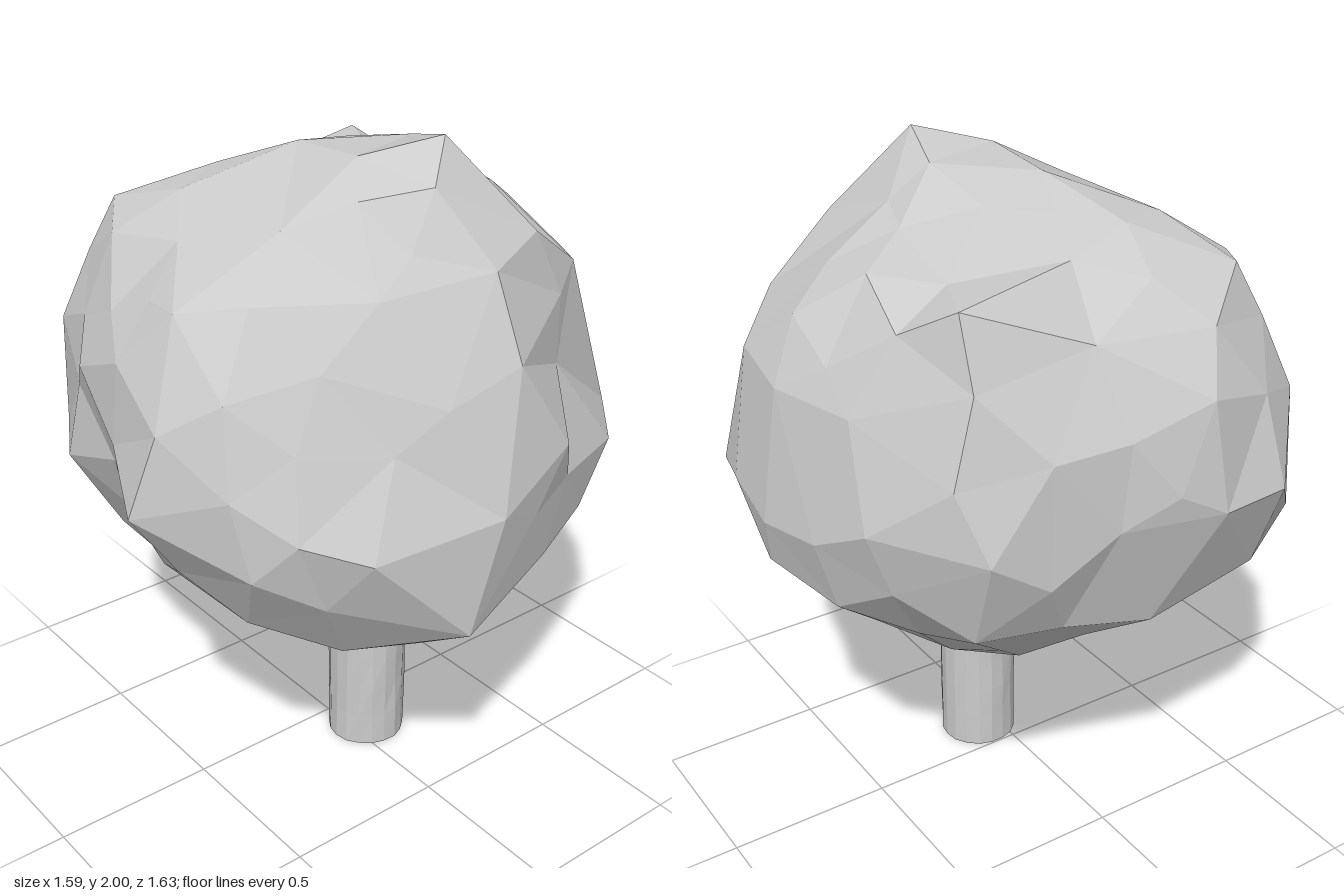
import * as THREE from 'three';
import { ConvexGeometry } from 'three/addons/geometries/ConvexGeometry.js';
import { mergeVertices } from 'three/addons/utils/BufferGeometryUtils.js';

const V = (x, y, z) => new THREE.Vector3(x, y, z);
const CENTRE = V(0, 1.23, 0);

// Main lumps and hollows of the foliage; the rest of the surface blends between them
const LUMPS = [
  // crown
  V(0.33, 2.0, -0.13), V(0.21, 1.95, 0.07), V(-0.06, 1.93, 0.06), V(-0.35, 1.78, -0.05), V(-0.5, 1.78, -0.49),
  V(-0.35, 1.69, -0.58), V(-0.3, 1.77, -0.4), V(0.17, 1.85, -0.3), V(-0.49, 1.73, 0.4), V(-0.05, 1.73, 0.47),
  // shoulder
  V(0.5, 1.74, -0.32), V(0.58, 1.7, -0.1), V(0.5, 1.67, 0.23), V(0.16, 1.63, 0.63),
  V(-0.65, 1.64, 0.2), V(0.42, 1.58, -0.56), V(0.2, 1.51, -0.75), V(-0.3, 1.47, -0.7), V(-0.6, 1.65, -0.15),
  // widest ring
  V(0.24, 1.35, 0.75), V(0.69, 1.47, -0.1), V(0.63, 1.3, 0.28), V(-0.76, 1.49, 0.12),
  V(0.55, 1.35, -0.38), V(0.18, 1.1, 0.81), V(0.79, 1.1, 0.03), V(0.7, 1.05, 0.4), V(0.48, 0.98, 0.63),
  V(-0.26, 1.35, 0.68), V(-0.1, 1.12, 0.68), V(-0.78, 1.17, 0.37), V(-0.8, 1.17, 0.15), V(-0.73, 1.17, -0.15),
  V(-0.67, 1.15, -0.51), V(-0.4, 1.18, -0.72), V(0, 1.07, -0.82), V(0.41, 1.08, -0.75), V(0.57, 1.05, -0.61),
  V(0.72, 1.2, -0.27),
  // underside
  V(-0.62, 1.0, 0.54), V(0.77, 0.76, 0.12), V(0.55, 0.61, 0.1), V(0, 0.8, 0.6), V(0, 0.6, 0.36), V(-0.67, 0.89, 0.37),
  V(-0.37, 0.6, 0.1), V(-0.09, 0.5, -0.25), V(0, 0.64, -0.5), V(0.05, 0.92, -0.79), V(0.1, 0.53, 0),
];

// Repeatable pseudo-random values from -0.5 to 0.5
function makeRandom(seed) {
  return () => {
    seed = (seed * 16807) % 2147483647;
    return seed / 2147483647 - 0.5;
  };
}

function foliageGeometry() {
  const random = makeRandom(4217);
  const lumps = LUMPS.map((p) => {
    const offset = p.clone().sub(CENTRE);
    return { radius: offset.length(), dir: offset.normalize() };
  });

  // fill the gaps between lumps with points of blended radius
  const points = [...lumps];
  const ball = new THREE.IcosahedronGeometry(1, 3);
  ball.deleteAttribute('uv');
  ball.deleteAttribute('normal');
  const grid = mergeVertices(ball, 1e-3).attributes.position;
  for (let i = 0; i < grid.count; i++) {
    const dir = V(0, 0, 0).fromBufferAttribute(grid, i);
    dir.add(V(random(), random(), random()).multiplyScalar(0.05)).normalize();
    if (lumps.some((l) => l.dir.angleTo(dir) < 0.2)) continue;
    let sum = 0.0038, weight = 0.005;
    for (const l of lumps) {
      const w = Math.exp(36 * (dir.dot(l.dir) - 1));
      sum += w * l.radius;
      weight += w;
    }
    points.push({ dir, radius: sum / weight - 0.015 + random() * 0.015 });
  }

  // triangulate the directions on a sphere, then push each corner to its radius
  const geo = new ConvexGeometry(points.map((p) => p.dir));
  const pos = geo.attributes.position;
  for (let i = 0; i < pos.count; i++) {
    const v = V(0, 0, 0).fromBufferAttribute(pos, i);
    const nearest = points.reduce((a, b) => (b.dir.dot(v) > a.dir.dot(v) ? b : a));
    v.copy(nearest.dir).multiplyScalar(nearest.radius).add(CENTRE);
    pos.setXYZ(i, v.x, v.y, v.z);
  }
  geo.computeVertexNormals();
  return geo;
}

// Slightly uneven round stem
function trunkGeometry() {
  let geo = new THREE.CylinderGeometry(0.121, 0.121, 0.75, 18, 7);
  geo.translate(0, 0.375, 0);
  geo.deleteAttribute('uv');
  geo.deleteAttribute('normal');
  geo = mergeVertices(geo, 1e-4);
  const pos = geo.attributes.position;
  const random = makeRandom(991);
  for (let i = 0; i < pos.count; i++) {
    const s = 1 + random() * 0.03;
    pos.setXYZ(i, pos.getX(i) * s, pos.getY(i), pos.getZ(i) * s);
  }
  geo.computeVertexNormals();
  return geo;
}

export function createModel() {
  const material = new THREE.MeshStandardMaterial({ color: 0xcccccc, flatShading: true });
  const tree = new THREE.Group();
  tree.name = 'tree';

  const foliage = new THREE.Mesh(foliageGeometry(), material);
  foliage.name = 'foliage';

  const trunk = new THREE.Mesh(trunkGeometry(), material);
  trunk.name = 'trunk';
  trunk.position.set(0.124, 0, -0.058);

  tree.add(foliage, trunk);
  return tree;
}
